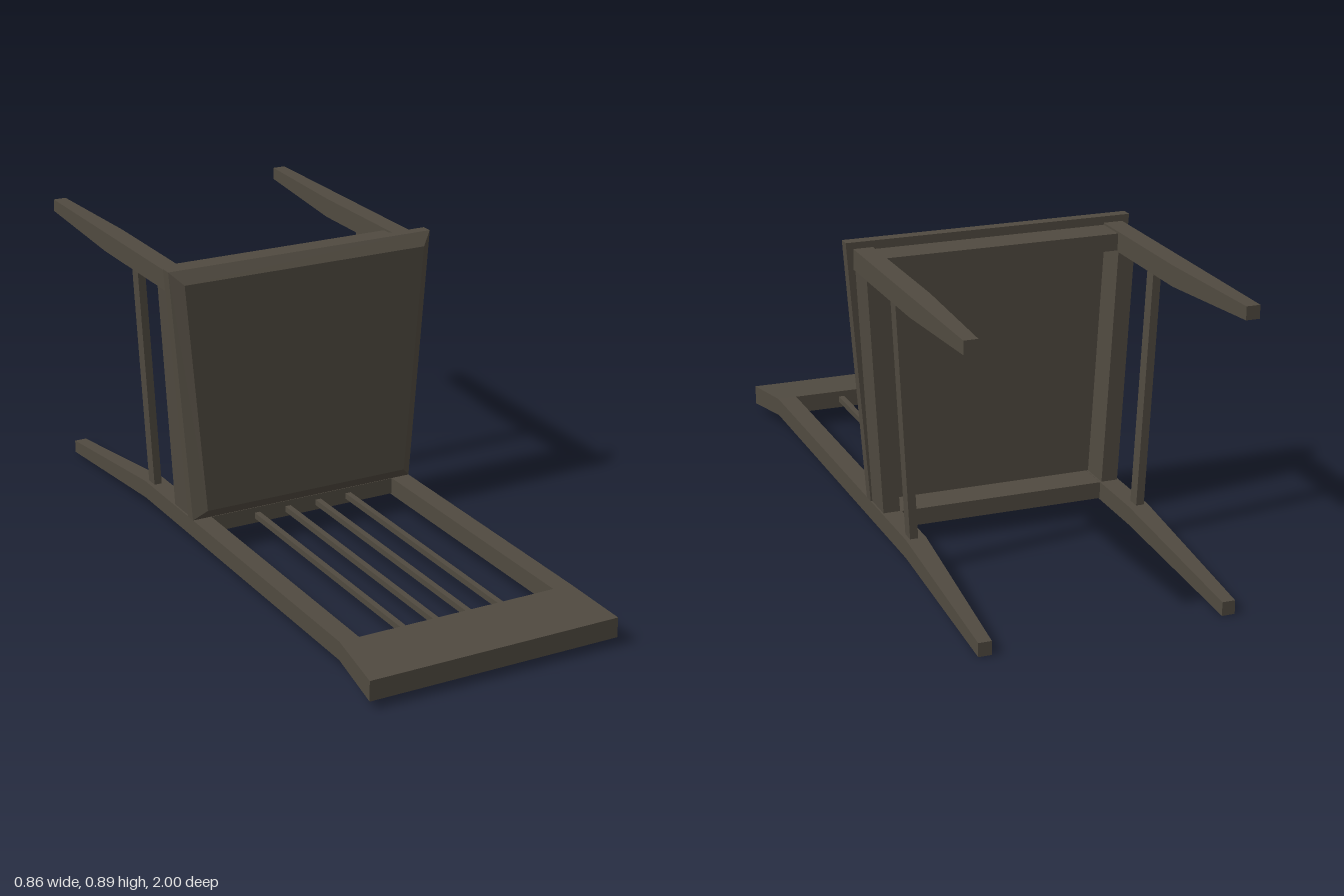
import * as THREE from 'three';

// Loft of four-sided cross-sections running towards +z.
// Each section: [z, yLow, yHigh, lowX0, lowX1, highX0, highX1]; the high pair defaults to the low pair.
function loft(sections, mirror = false) {
  const rings = sections.map(([z, y0, y1, a0, b0, a1 = a0, b1 = b0]) => {
    if (mirror) [a0, b0, a1, b1] = [-b0, -a0, -b1, -a1];
    return [[a0, y0, z], [b0, y0, z], [b1, y1, z], [a1, y1, z]];
  });
  const pos = [];
  const quad = (a, b, c, d) => pos.push(...a, ...b, ...c, ...a, ...c, ...d);
  for (let k = 0; k < rings.length - 1; k++) {
    const r = rings[k], n = rings[k + 1];
    for (let i = 0; i < 4; i++) {
      const j = (i + 1) % 4;
      quad(r[i], r[j], n[j], n[i]);
    }
  }
  const first = rings[0], last = rings[rings.length - 1];
  quad(first[3], first[2], first[1], first[0]);
  quad(...last);
  const g = new THREE.BufferGeometry();
  g.setAttribute('position', new THREE.Float32BufferAttribute(pos, 3));
  g.computeVertexNormals();
  return g;
}

export function createModel() {
  const group = new THREE.Group();
  const wood = new THREE.MeshStandardMaterial({ color: 0x504a40 });
  wood.name = 'dark wood';
  const add = (name, geometry) => {
    const mesh = new THREE.Mesh(geometry, wood);
    mesh.name = name;
    group.add(mesh);
  };

  // The chair lies on its back: seat upright, legs towards -z, backrest towards +z.
  add('seat', loft([
    [-0.135, 0.105, 0.887, -0.37, 0.37, -0.432, 0.432],
    [-0.1, 0.105, 0.887, -0.37, 0.37, -0.432, 0.432],
    [-0.07, 0.14, 0.85, -0.335, 0.335, -0.395, 0.395],
  ]));

  // Head rail of the backrest, flaring and bending back
  add('headRail', loft([
    [0.8, 0.05, 0.105, -0.37, 0.37],
    [1, 0.025, 0.085, -0.39, 0.39],
  ]));

  for (const mirror of [false, true]) {
    const side = mirror ? 'right' : 'left';
    // Back post and rear leg in one piece
    add(side + 'BackPost', loft([
      [-1, 0, 0.04, 0.332, 0.37],
      [-0.44, 0.05, 0.105, 0.31, 0.37],
      [0.8, 0.05, 0.105, 0.31, 0.37],
    ], mirror));
    add(side + 'FrontLeg', loft([
      [-1, 0.83, 0.868, 0.37, 0.41],
      [-0.6, 0.808, 0.868, 0.352, 0.41],
      [-0.135, 0.808, 0.868, 0.352, 0.41],
    ], mirror));
    // Side apron and stretcher splay outwards to the front leg
    add(side + 'Apron', loft([
      [-0.235, 0.105, 0.808, 0.315, 0.365, 0.355, 0.405],
      [-0.135, 0.105, 0.808, 0.315, 0.365, 0.355, 0.405],
    ], mirror));
    add(side + 'Stretcher', loft([
      [-0.44, 0.1, 0.81, 0.333, 0.357, 0.37, 0.394],
      [-0.4, 0.1, 0.81, 0.333, 0.357, 0.37, 0.394],
    ], mirror));
  }

  // Front and rear aprons between the legs
  add('frontApron', loft([[-0.235, 0.812, 0.862, -0.354, 0.354], [-0.135, 0.812, 0.862, -0.354, 0.354]]));
  add('rearApron', loft([[-0.235, 0.054, 0.104, -0.312, 0.312], [-0.1, 0.054, 0.104, -0.312, 0.312]]));

  // Backrest spindles
  for (const x of [-0.156, -0.052, 0.052, 0.156]) {
    const bar = new THREE.BoxGeometry(0.018, 0.018, 0.92);
    bar.translate(x, 0.078, 0.35);
    add('spindle', bar);
  }
  return group;
}
